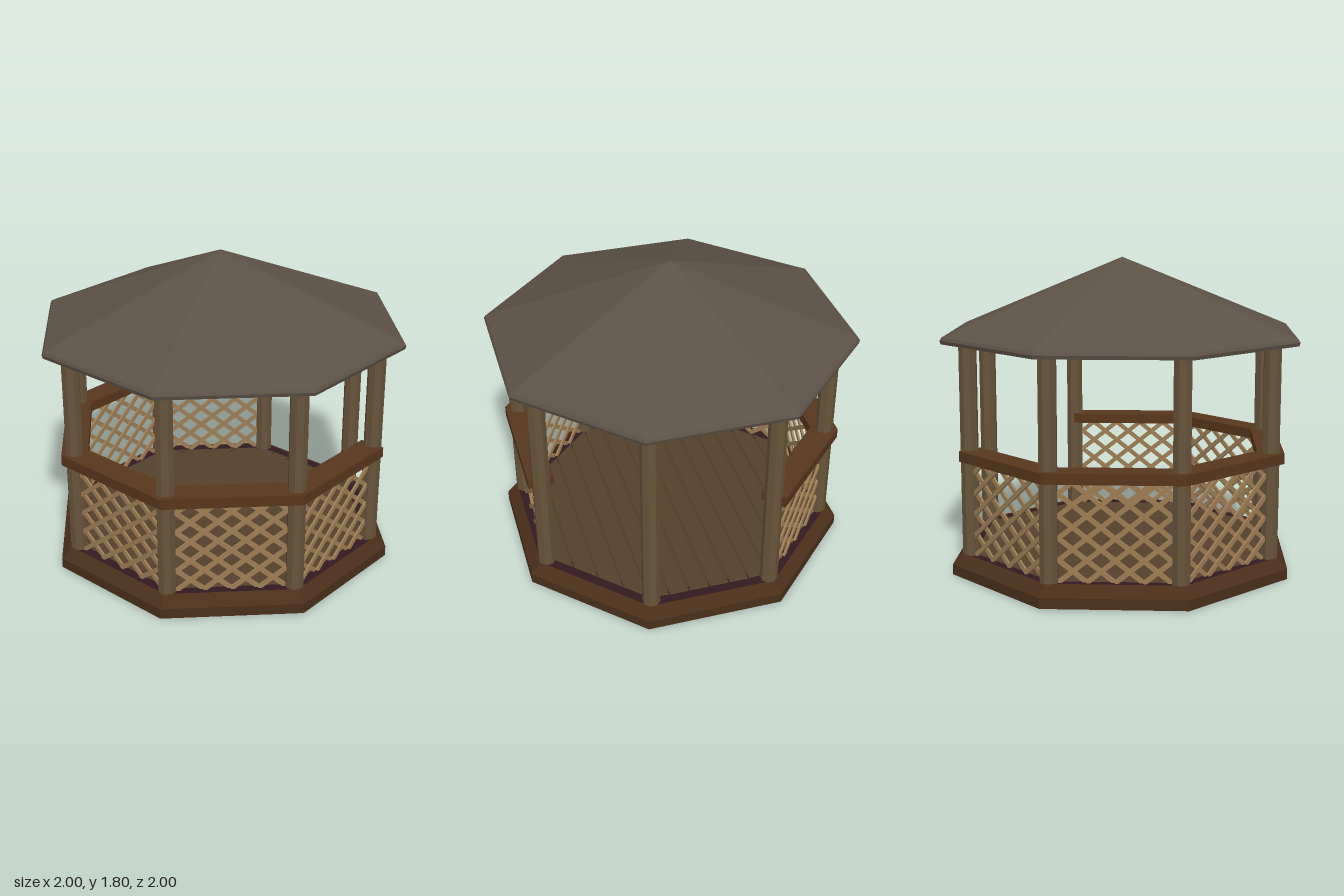
import * as THREE from 'three';

const STEP = Math.PI / 4;
const K = 1 / Math.cos(Math.PI / 8); // flat-side distance -> corner radius
const POST = 0.855;                  // flat-side distance of the post ring

const mat = (color, side = THREE.FrontSide) =>
  new THREE.MeshStandardMaterial({ color, flatShading: true, roughness: 0.9, side });
const M = {
  roof: mat(0x5c5145),
  base: mat(0x4a2f1a),
  trim: mat(0x331a1f, THREE.DoubleSide),
  floor: mat(0x54402b),
  post: mat(0x67533a),
  rail: mat(0x57361c),
  lattice: mat(0x9c7d55),
};

function add(parent, name, geometry, material) {
  const mesh = new THREE.Mesh(geometry, material);
  mesh.name = name;
  parent.add(mesh);
  return mesh;
}

// Eight-sided solid from a profile of [flat-side distance, height]
function octagon(profile) {
  const pts = profile.map(([d, y]) => new THREE.Vector2(d * K, y));
  return new THREE.LatheGeometry(pts, 8, Math.PI / 8);
}

// Horizontal slab from [x, z] corners
function slab(corners, options) {
  const shape = new THREE.Shape(corners.map(([x, z]) => new THREE.Vector2(x, -z)));
  return new THREE.ExtrudeGeometry(shape, options).rotateX(-Math.PI / 2);
}

// Point at an angle from +z towards +x
const polar = (a, r) => [Math.sin(a) * r, Math.cos(a) * r];

// Boards along x, cut to the octagon
function makeFloor() {
  const group = new THREE.Group();
  group.name = 'floorBoards';
  const d = 0.84, count = 14, w = (2 * d) / count;
  const half = (z) => Math.min(d, d * Math.SQRT2 - Math.abs(z));
  for (let i = 0; i < count; i++) {
    const z0 = -d + i * w, z1 = z0 + w;
    const geo = slab(
      [[-half(z0), z0], [-half(z1), z1], [half(z1), z1], [half(z0), z0]],
      { depth: 0.004, bevelThickness: 0.008, bevelSize: 0.025, bevelOffset: -0.025, bevelSegments: 2 },
    );
    add(group, 'floorBoard', geo, M.floor).position.y = 0.108;
  }
  return group;
}

// Two crossed layers of slats, clipped to the panel
function makeLattice() {
  const panel = new THREE.Group();
  panel.name = 'latticePanel';
  const hw = 0.31, y0 = 0.115, y1 = 0.675, pitch = 0.122, slope = 0.8;
  for (const s of [1, -1]) {
    for (let k = -4; k <= 10; k++) {
      const c = y0 + k * pitch; // height of the slat line at x = 0
      const xa = Math.max(-hw, (y0 - c) / slope);
      const xb = Math.min(hw, (y1 - c) / slope);
      if (xb - xa < 0.02) continue;
      const length = (xb - xa) * Math.hypot(1, slope);
      const slat = add(panel, 'latticeSlat', new THREE.BoxGeometry(length, 0.026, 0.012), M.lattice);
      const mid = (xa + xb) / 2;
      slat.position.set(s * mid, c + slope * mid, POST + s * 0.006);
      slat.rotation.z = s * Math.atan(slope);
    }
  }
  return panel;
}

// Continuous handrail round six sides, with square-cut ends at the entrance
function makeRail() {
  const edge = (offset) => {
    const pts = [];
    for (let j = 0; j <= 6; j++) {
      const a = STEP / 2 - j * STEP;
      if (j === 0 || j === 6) {
        const [px, pz] = polar(a, POST * K);
        const [nx, nz] = polar(j === 0 ? 0 : -5 * STEP, offset);
        pts.push([px + nx, pz + nz]);
      } else {
        pts.push(polar(a, (POST + offset) * K));
      }
    }
    return pts;
  };
  return slab([...edge(0.075), ...edge(-0.075).reverse()], { depth: 0.06, bevelEnabled: false });
}

export function createModel() {
  const model = new THREE.Group();
  model.name = 'gazebo';

  // Plinth with sloped top edge
  add(model, 'plinth', octagon([
    [0, 0], [0.96, 0], [0.96, 0.06], [0.9, 0.12], [0.895, 0.11], [0, 0.1],
  ]), M.base);

  // Dark border around the floor
  const border = add(model, 'floorBorder',
    new THREE.RingGeometry(0.8 * K, 0.9 * K, 8, 1, Math.PI / 8), M.trim);
  border.rotation.x = -Math.PI / 2;
  border.position.y = 0.114;

  model.add(makeFloor());

  // Posts on the eight corners
  for (let k = 0; k < 8; k++) {
    const a = (k + 0.5) * STEP;
    const [x, z] = polar(a, POST * K);
    const post = add(model, 'post', new THREE.CylinderGeometry(0.052, 0.052, 1.29, 8), M.post);
    post.position.set(x, 0.755, z);
    post.rotation.y = a;
  }

  // Lattice on every side except the two open ones
  for (let k = 0; k < 8; k++) {
    if (k === 1 || k === 2) continue;
    const panel = makeLattice();
    panel.rotation.y = k * STEP;
    model.add(panel);
  }

  add(model, 'handrail', makeRail(), M.rail).position.y = 0.67;

  // Hollow roof with a thin eave
  add(model, 'roof', octagon([
    [0, 1.765], [0.975, 1.34], [0.995, 1.34], [1, 1.36], [0.99, 1.377], [0, 1.805],
  ]), M.roof);

  return model;
}
